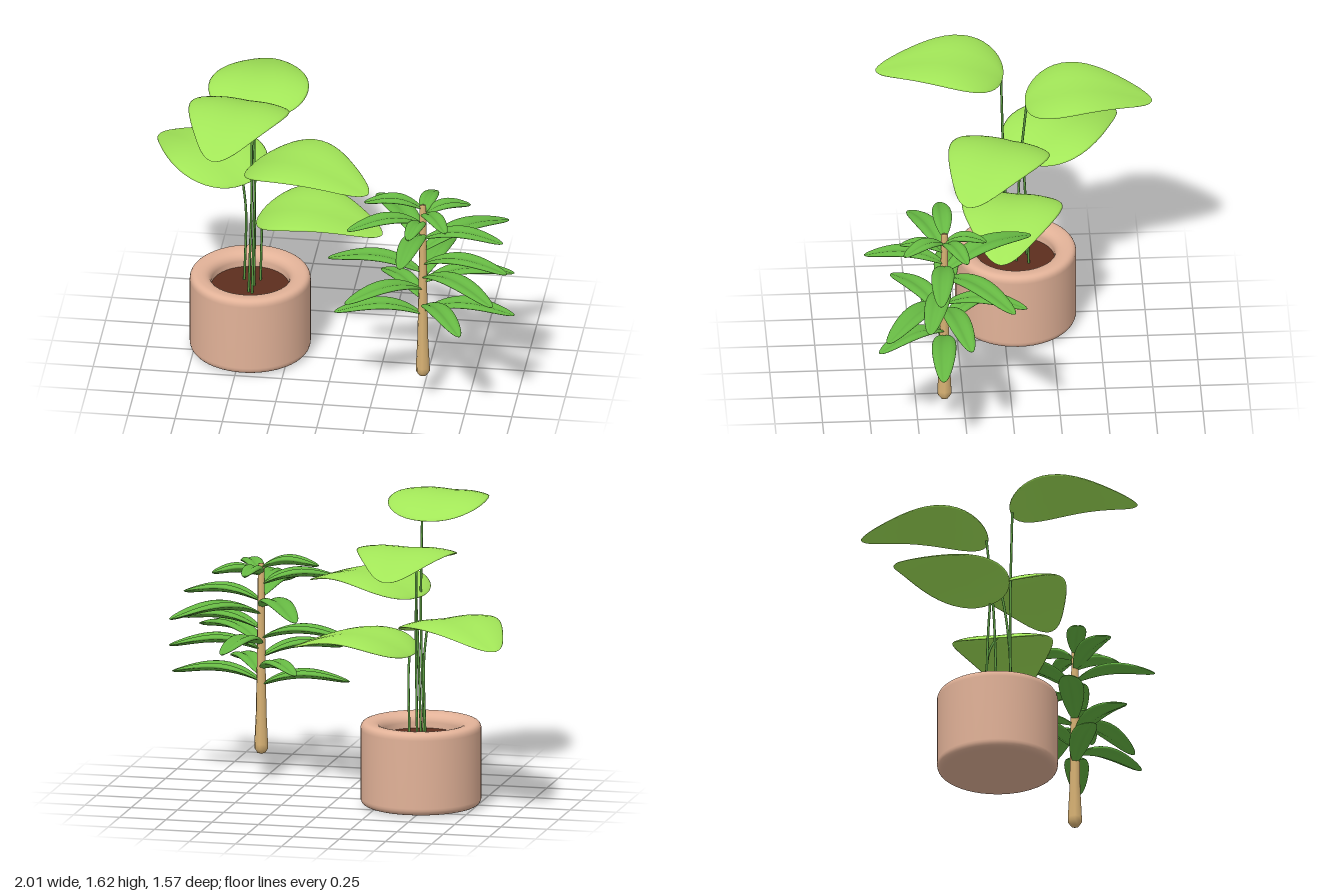
import * as THREE from 'three';

const mat = (color) => new THREE.MeshStandardMaterial({ color });
const V = (x, y, z) => new THREE.Vector3(x, y, z);

function add(parent, name, geometry, material) {
  const mesh = new THREE.Mesh(geometry, material);
  mesh.name = name;
  parent.add(mesh);
  return mesh;
}

// Arched leaf running along +z: a lens cross-section with bent edges and a midrib fold
function leafGeometry(length, rise, o) {
  const rows = 24, sides = 24, pos = [], index = [];
  for (let i = 0; i <= rows; i++) {
    const t = (1 - Math.cos((Math.PI * i) / rows)) / 2;
    const bulge = Math.pow(Math.max(0, Math.sin(Math.PI * Math.pow(t, o.bias))), o.power);
    const s = bulge + 0.5 * Math.pow(t, 8) * Math.sqrt(1 - t);
    const arch = o.arch * Math.sin(Math.PI * Math.pow(t, 0.85)) + rise * t;
    for (let j = 0; j < sides; j++) {
      const a = (j / sides) * Math.PI * 2, u = Math.cos(a);
      const fold = o.fold * Math.exp(-((u / 0.35) ** 2));
      const y = arch + s * (o.thick * Math.sin(a) - o.droop * u * u - fold);
      pos.push((s * o.width * u) / 2, y, t * length);
    }
  }
  for (let i = 0; i < rows; i++) {
    for (let j = 0; j < sides; j++) {
      const a = i * sides + j, b = i * sides + ((j + 1) % sides);
      index.push(a, b, b + sides, a, b + sides, a + sides);
    }
  }
  const g = new THREE.BufferGeometry();
  g.setAttribute('position', new THREE.Float32BufferAttribute(pos, 3));
  g.setIndex(index);
  g.computeVertexNormals();
  return g;
}

// Places a leaf so that it spans from its base point to its tip point
function addLeaf(parent, name, base, tip, style, material) {
  const dx = tip.x - base.x, dz = tip.z - base.z;
  const leaf = add(parent, name, leafGeometry(Math.hypot(dx, dz), tip.y - base.y, style), material);
  leaf.position.copy(base);
  leaf.rotation.y = Math.atan2(dx, dz);
}

function createPot() {
  const pot = new THREE.Group();
  pot.name = 'pot';
  pot.position.set(-0.46, 0, -0.068);
  // Rounded outer wall, soft rim and inner wall
  const p = new THREE.Path();
  p.moveTo(0, 0);
  p.lineTo(0.27, 0.003);
  p.quadraticCurveTo(0.318, 0.005, 0.318, 0.045);
  p.lineTo(0.318, 0.41);
  p.quadraticCurveTo(0.318, 0.45, 0.28, 0.45);
  p.quadraticCurveTo(0.21, 0.45, 0.205, 0.4);
  p.lineTo(0.205, 0.34);
  add(pot, 'potBody', new THREE.LatheGeometry(p.getPoints(6), 48), mat(0xe2b298)).material.side = THREE.DoubleSide;
  const soil = add(pot, 'soil', new THREE.CylinderGeometry(0.206, 0.206, 0.04, 48), mat(0x5c2e1e));
  soil.position.y = 0.35;
  return pot;
}

function createBroadPlant() {
  const plant = new THREE.Group();
  plant.name = 'broadLeafPlant';
  const leafMat = mat(0xa2e658), stemMat = mat(0x5c9c42);
  const style = { width: 0.53, bias: 0.6, power: 0.76, arch: 0.095, thick: 0.02, droop: 0.012, fold: 0.012 };
  // Stem foot x, z; leaf base; leaf tip
  const leaves = [
    [-0.46, 0.0, V(-0.445, 1.51, 0.0), V(-0.56, 1.51, 0.665)],
    [-0.44, -0.07, V(-0.45, 1.345, -0.115), V(-0.45, 1.34, -0.785)],
    [-0.5, -0.13, V(-0.495, 0.955, -0.1), V(-0.99, 0.96, -0.605)],
    [-0.44, 0.015, V(-0.44, 1.11, -0.06), V(0.2, 1.12, 0.22)],
    [-0.415, -0.135, V(-0.41, 0.8, -0.075), V(0.255, 0.79, 0.05)],
  ];
  for (const [x, z, base, tip] of leaves) {
    const mid = V(x * 0.4 + base.x * 0.6 + 0.008, 0.4 + base.y * 0.4, z * 0.6 + base.z * 0.4);
    const inner = base.clone().lerp(tip, 0.015);
    const curve = new THREE.CatmullRomCurve3([V(x, 0.35, z), mid, inner]);
    add(plant, 'stem', new THREE.TubeGeometry(curve, 20, 0.0065, 8), stemMat);
    addLeaf(plant, 'broadLeaf', base, tip, style, leafMat);
  }
  return plant;
}

function createShrub() {
  const shrub = new THREE.Group();
  shrub.name = 'shrub';
  const cx = 0.51, cz = 0.36;
  // Tapered trunk with a pointed foot
  const profile = [[0, 0.135], [0.022, 0.143], [0.037, 0.165], [0.037, 0.19], [0.029, 0.35],
    [0.024, 0.6], [0.02, 0.9], [0.018, 1.155], [0, 1.16]].map(([r, y]) => new THREE.Vector2(r, y));
  const trunk = add(shrub, 'trunk', new THREE.LatheGeometry(profile, 8), mat(0xd8b274));
  trunk.position.set(cx, 0, cz);

  // Leaf tips x, y, z, spiralling up the trunk
  const tips = [
    [0.05, 0.53, 0.44], [1.0, 0.55, 0.39], [0.75, 0.58, 0.715], [0.26, 0.62, 0.1],
    [0.13, 0.68, 0.62], [0.98, 0.72, 0.24], [0.62, 0.75, -0.07], [0.92, 0.75, 0.68],
    [0.0, 0.78, 0.31], [0.97, 0.83, 0.46], [0.92, 0.91, 0.01], [0.21, 0.95, -0.11],
    [0.94, 0.98, 0.4], [0.44, 1.0, 0.78], [0.13, 1.07, 0.53], [0.66, 1.12, 0.58],
    [0.75, 1.12, 0.25], [0.2, 1.16, 0.37], [0.46, 1.07, 0.59], [0.55, 1.13, 0.14],
  ];
  const leafMat = mat(0x66b843);
  for (const [x, y, z] of tips) {
    const length = Math.hypot(x - cx, z - cz);
    const style = {
      width: 0.06 + 0.14 * length, bias: 0.92, power: 0.62, arch: 0.02 + 0.09 * length,
      thick: 0.018, droop: 0.002, fold: 0.018,
    };
    addLeaf(shrub, 'shrubLeaf', V(cx, y - 0.025, cz), V(x, y, z), style, leafMat);
  }
  return shrub;
}

export function createModel() {
  const model = new THREE.Group();
  model.name = 'plants';
  model.add(createPot(), createBroadPlant(), createShrub());
  return model;
}
